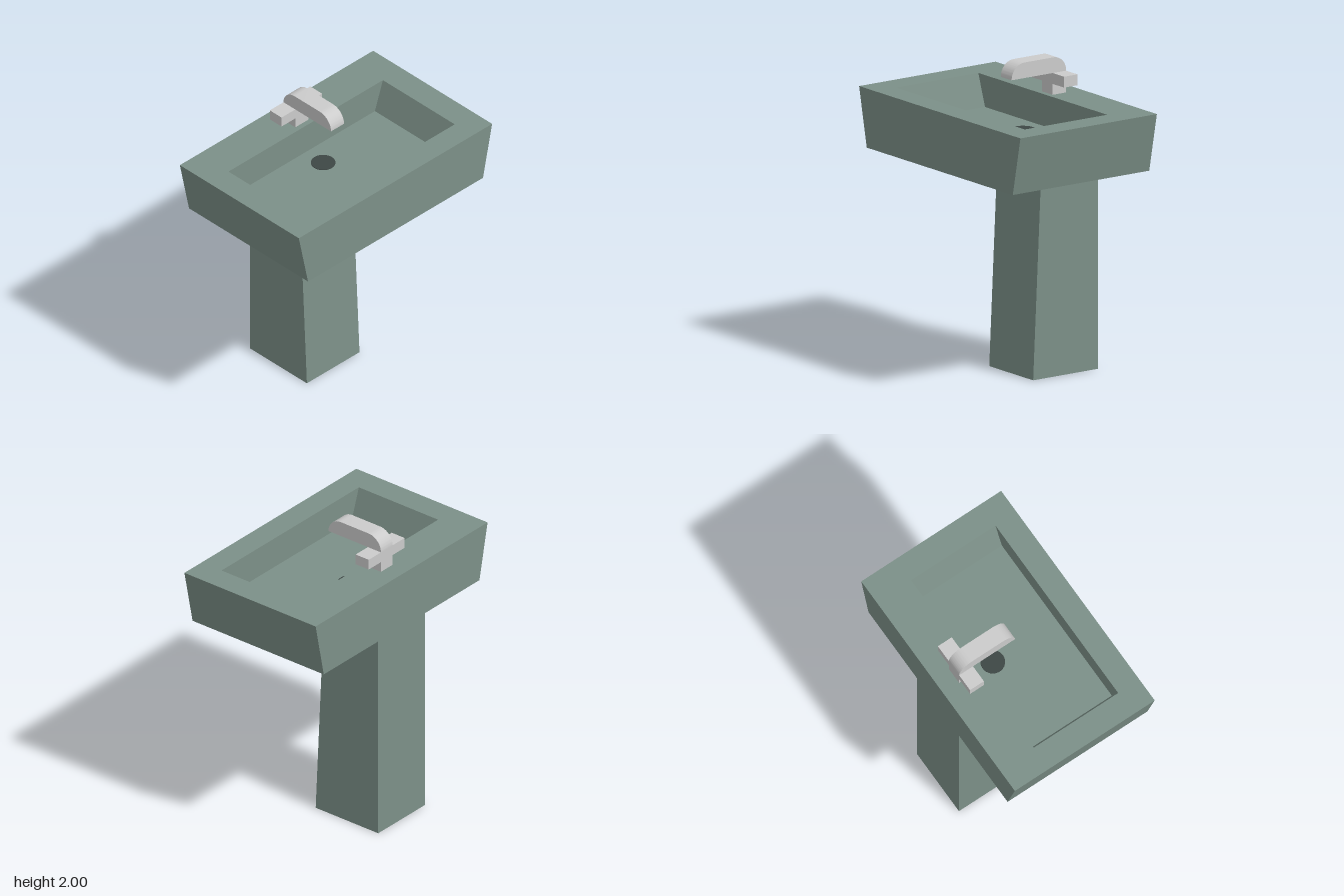
import * as THREE from 'three';
import { toCreasedNormals } from 'three/addons/utils/BufferGeometryUtils.js';

const ceramic = new THREE.MeshStandardMaterial({ color: 0x7c9088 });
const metal = new THREE.MeshStandardMaterial({ color: 0xcccccc });
const dark = new THREE.MeshStandardMaterial({ color: 0x3e4745 });

function add(parent, name, geometry, material, x = 0, y = 0, z = 0) {
  const mesh = new THREE.Mesh(geometry, material);
  mesh.name = name;
  mesh.position.set(x, y, z);
  parent.add(mesh);
  return mesh;
}

// Extrudes a side profile drawn in (z, y) across x, centred on x = 0
function sideExtrude(shape, width) {
  const g = new THREE.ExtrudeGeometry(shape, { depth: width, bevelEnabled: false, curveSegments: 12 });
  g.translate(0, 0, -width / 2);
  g.rotateY(-Math.PI / 2);
  return toCreasedNormals(g, 0.6);
}

// Rectangular rings joined in sequence, closed by a cap at each end
function ringShell(rings) {
  const corners = rings.map(([x, y, back, front]) =>
    [[-x, y, front], [x, y, front], [x, y, back], [-x, y, back]]);
  const pos = [];
  const quad = (a, b, c, d) => pos.push(...a, ...b, ...c, ...a, ...c, ...d);
  for (let i = 0; i < corners.length - 1; i++) {
    for (let j = 0; j < 4; j++) {
      const k = (j + 1) % 4;
      quad(corners[i][j], corners[i][k], corners[i + 1][k], corners[i + 1][j]);
    }
  }
  quad(...[...corners[0]].reverse());
  quad(...corners[corners.length - 1]);
  const g = new THREE.BufferGeometry();
  g.setAttribute('position', new THREE.Float32BufferAttribute(pos, 3));
  g.computeVertexNormals();
  return g;
}

export function createModel() {
  const sink = new THREE.Group();
  sink.name = 'pedestalSink';

  // Pedestal: upright back, front leaning back towards the top
  const column = new THREE.Shape([[-0.53, 0], [-0.025, 0], [-0.09, 1.38], [-0.53, 1.38]]
    .map(([z, y]) => new THREE.Vector2(z, y)));
  add(sink, 'pedestal', sideExtrude(column, 0.46), ceramic);

  // Basin: underside, outer rim, inner rim, bowl floor (half width, y, back z, front z)
  add(sink, 'basin', ringShell([
    [0.765, 1.38, -0.53, 0.53],
    [0.845, 1.76, -0.53, 0.53],
    [0.675, 1.76, -0.27, 0.37],
    [0.605, 1.555, -0.27, 0.37],
  ]), ceramic);

  // Drain disc set on the bowl floor
  add(sink, 'drain', new THREE.CylinderGeometry(0.077, 0.077, 0.006, 32), dark, 0, 1.556, -0.115);

  // Faucet: post, two handles and a spout with rounded upper corners
  const faucet = new THREE.Group();
  faucet.name = 'faucet';
  sink.add(faucet);
  add(faucet, 'faucetPost', new THREE.BoxGeometry(0.114, 0.14, 0.105), metal, 0, 1.83, -0.357);
  for (const [side, name] of [[1, 'leftHandle'], [-1, 'rightHandle']]) {
    add(faucet, name, new THREE.BoxGeometry(0.12, 0.07, 0.105), metal, side * 0.117, 1.865, -0.357);
  }
  const r = 0.1, back = -0.41, front = 0.014;
  const spout = new THREE.Shape();
  spout.moveTo(back, 1.9);
  spout.lineTo(front, 1.9);
  spout.absarc(front - r, 1.9, r, 0, Math.PI / 2, false);
  spout.lineTo(back + r, 2);
  spout.absarc(back + r, 1.9, r, Math.PI / 2, Math.PI, false);
  add(faucet, 'spout', sideExtrude(spout, 0.114), metal);

  return sink;
}
